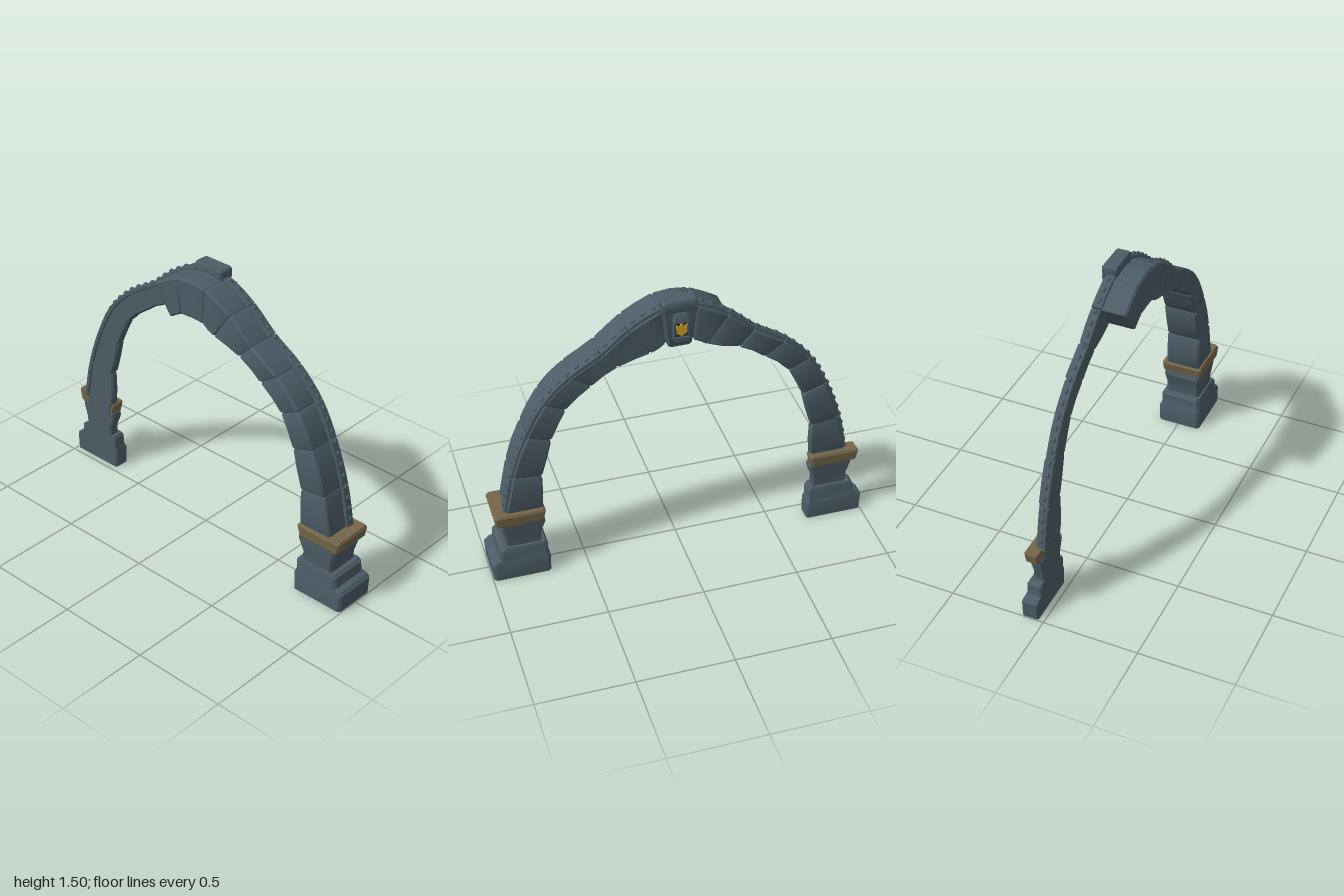
import * as THREE from 'three';
import { toCreasedNormals } from 'three/addons/utils/BufferGeometryUtils.js';

const mat = (name, color) => {
  const m = new THREE.MeshStandardMaterial({ color });
  m.name = name;
  return m;
};

// Small seeded generator for uneven stones, -1..1
function seeded(seed) {
  return () => {
    seed = (seed * 16807) % 2147483647;
    return (seed / 2147483647) * 2 - 1;
  };
}

// Chamfered rectangle spanning inner point a to outer point b, and z0 to z1
function ring(a, b, z0, z1, c) {
  const len = Math.hypot(b.x - a.x, b.y - a.y);
  const dx = (b.x - a.x) / len, dy = (b.y - a.y) / len;
  const flat = [
    [z0 + c, 0], [z1 - c, 0], [z1, c], [z1, len - c],
    [z1 - c, len], [z0 + c, len], [z0, len - c], [z0, c],
  ];
  return flat.map(([z, r]) => [a.x + dx * r, a.y + dy * r, z]);
}

// Closed solid through a row of equal-sized rings
function loft(rings, crease = 0.6) {
  const n = rings[0].length, index = [];
  for (let k = 0; k < rings.length - 1; k++) {
    for (let i = 0; i < n; i++) {
      const j = (i + 1) % n, a = k * n + i, b = k * n + j;
      index.push(a, b, b + n, a, b + n, a + n);
    }
  }
  const last = (rings.length - 1) * n;
  for (let i = 1; i < n - 1; i++) {
    index.push(0, i + 1, i, last, last + i, last + i + 1);
  }
  const g = new THREE.BufferGeometry();
  g.setAttribute('position', new THREE.Float32BufferAttribute(rings.flat(2), 3));
  g.setIndex(index);
  return toCreasedNormals(g, crease);
}

export function createModel() {
  const root = new THREE.Group();
  root.name = 'stoneArch';
  const stone = mat('slateStone', 0x4c5c66);
  const bronze = mat('agedBronze', 0x75664a);
  const gold = mat('gold', 0xdba823);
  const dark = mat('darkRecess', 0x2b353d);
  const rand = seeded(77);

  const add = (parent, name, geometry, material) => {
    const m = new THREE.Mesh(geometry, material);
    m.name = name;
    parent.add(m);
    return m;
  };
  const group = (name) => {
    const g = new THREE.Group();
    g.name = name;
    root.add(g);
    return g;
  };

  // Joint lines of the right half: outer x, y, inner x, y
  const half = [
    [0.905, 0.38, 0.715, 0.38], [0.858, 0.61, 0.708, 0.59],
    [0.775, 0.84, 0.652, 0.80], [0.68, 1.015, 0.572, 0.965],
    [0.545, 1.15, 0.44, 1.08], [0.385, 1.252, 0.305, 1.165],
    [0.25, 1.365, 0.142, 1.215], [0.09, 1.448, 0.07, 1.255],
  ];
  const joints = [...half, ...half.map(([a, b, c, d]) => [-a, b, -c, d]).reverse()];
  const outer = new THREE.CatmullRomCurve3(joints.map((j) => new THREE.Vector3(j[0], j[1], 0)));
  const inner = new THREE.CatmullRomCurve3(joints.map((j) => new THREE.Vector3(j[2], j[3], 0)));
  const count = joints.length - 1;
  const at = (u) => {
    const o = outer.getPoint(u), i = inner.getPoint(u);
    return { o, i, d: o.clone().sub(i).normalize() };
  };

  // Arch stones: full depth to just past the crown, thin on the broken side
  const stones = group('archStones');
  for (let s = 0; s < count; s++) {
    const front = s < 9 ? 0.105 : -0.03;
    const back = -0.076 + rand() * 0.005;
    const swell = [rand() * 0.007, rand() * 0.006];
    const rings = [0, 0.06, 0.5, 0.94, 1].map((t) => {
      const { o, i, d } = at((s + t) / count);
      const pinch = t === 0 || t === 1 ? 0.009 : 0;
      const mid = t === 0.5 ? 1 : 0;
      const cut = front < 0 ? 0 : pinch * 0.6;
      return ring(
        i.clone().addScaledVector(d, pinch + swell[0] * mid),
        o.clone().addScaledVector(d, -pinch * 0.5 + swell[1] * mid * 0.5),
        back + pinch * 0.6, front - cut, 0.009);
    });
    add(stones, 'archStone', loft(rings), stone);
  }

  // Raised rail along the outer edge
  const rail = group('outerRail');
  for (let s = 0; s < count; s++) {
    const rings = [0.015, 0.25, 0.5, 0.75, 0.985].map((t) => {
      const { o, d } = at((s + t) / count);
      return ring(o.clone().addScaledVector(d, -0.012), o.clone().addScaledVector(d, 0.013),
        -0.068, -0.02, 0.004);
    });
    add(rail, 'railStrip', loft(rings), stone);
  }

  // Studs on the rail
  const studs = group('railStuds');
  const studShape = new THREE.SphereGeometry(0.014, 8, 6);
  const steps = 52;
  for (let k = 1; k < steps; k++) {
    const p = outer.getPointAt(k / steps), t = outer.getTangentAt(k / steps);
    if (Math.abs(p.x) < 0.1 || p.y < 0.42) continue;
    const stud = add(studs, 'stud', studShape, stone);
    stud.position.set(p.x + t.y * 0.013, p.y - t.x * 0.013, -0.043);
    stud.rotation.z = Math.atan2(t.y, t.x);
    stud.scale.set(1.1, 0.75, 0.75);
  }

  // Pillars: y, inner x, outer x, back z, front z
  const base = [
    [0, 0.697, 0.995, -0.117, 0.12], [0.095, 0.695, 1.0, -0.117, 0.12],
    [0.112, 0.702, 0.985, -0.11, 0.116], [0.12, 0.705, 0.958, -0.108, 0.115],
    [0.175, 0.705, 0.952, -0.107, 0.114], [0.19, 0.715, 0.935, -0.1, 0.11],
  ];
  const waist = [
    [0.185, 0.732, 0.915, -0.088, 0.1], [0.24, 0.733, 0.918, -0.088, 0.102],
    [0.31, 0.708, 0.938, -0.094, 0.11], [0.335, 0.712, 0.935, -0.094, 0.108],
  ];
  const collar = [
    [0.326, 0.728, 0.945, -0.095, 0.11], [0.336, 0.718, 0.962, -0.105, 0.117],
    [0.388, 0.706, 0.972, -0.107, 0.12], [0.4, 0.716, 0.965, -0.1, 0.114],
  ];
  const core = [[0.32, 0.735, 0.9, -0.08, 0.1], [0.402, 0.735, 0.9, -0.08, 0.1]];
  for (const side of [1, -1]) {
    const pillar = group(side > 0 ? 'leftPillar' : 'rightPillar');
    const block = (name, rows, material, front, c) => {
      const rings = rows.map(([y, xi, xo, z0, z1]) => {
        const a = { x: side * xi, y }, b = { x: side * xo, y };
        return side > 0 ? ring(a, b, z0, z1, c) : ring(b, a, z0, front, Math.min(c, 0.008));
      });
      add(pillar, name, loft(rings, 0.5), material);
    };
    block('pillarBase', base, stone, -0.03, 0.014);
    block('pillarWaist', waist, stone, -0.03, 0.012);
    block('bronzeCollar', collar, bronze, -0.035, 0.01);
    block('pillarCore', core, stone, -0.029, 0.006);
  }

  // Keystone: tapered slab with a heavier cap
  const keystone = group('keystone');
  const row = (y, w, z0, z1, c = 0.008) => ring({ x: -w, y }, { x: w, y }, z0, z1, c);
  add(keystone, 'keystoneBody', loft([
    row(1.24, 0.052, -0.08, -0.025), row(1.25, 0.06, -0.086, -0.02),
    row(1.38, 0.078, -0.09, -0.02), row(1.45, 0.086, -0.092, -0.018),
  ]), stone);
  add(keystone, 'keystoneCap', loft([
    row(1.44, 0.084, -0.092, -0.018), row(1.452, 0.09, -0.096, -0.014),
    row(1.49, 0.088, -0.095, -0.014), row(1.5, 0.08, -0.088, -0.02),
  ]), stone);

  // Framed gold inlay on the back of the keystone
  const box = (name, w, h, d, x, y, z, m) =>
    add(keystone, name, new THREE.BoxGeometry(w, h, d), m).position.set(x, y, z);
  box('inlayRecess', 0.066, 0.11, 0.02, 0, 1.35, -0.097, dark);
  box('inlaySill', 0.076, 0.022, 0.032, 0, 1.301, -0.102, stone);
  add(keystone, 'inlayHood', loft([
    row(1.395, 0.04, -0.118, -0.085, 0.003), row(1.41, 0.04, -0.116, -0.085, 0.003),
    row(1.44, 0.032, -0.098, -0.085, 0.003),
  ]), stone);
  for (const s of [1, -1]) box('inlayJamb', 0.008, 0.1, 0.024, s * 0.035, 1.35, -0.1, stone);
  const tongues = new THREE.Shape([
    [0, 1.318], [0.026, 1.335], [0.028, 1.385], [0.013, 1.37], [0, 1.394],
    [-0.013, 1.37], [-0.028, 1.385], [-0.026, 1.335],
  ].map(([x, y]) => new THREE.Vector2(x, y)));
  add(keystone, 'goldInlay',
    new THREE.ExtrudeGeometry(tongues, { depth: 0.008, bevelEnabled: false }), gold)
    .position.z = -0.114;

  return root;
}
